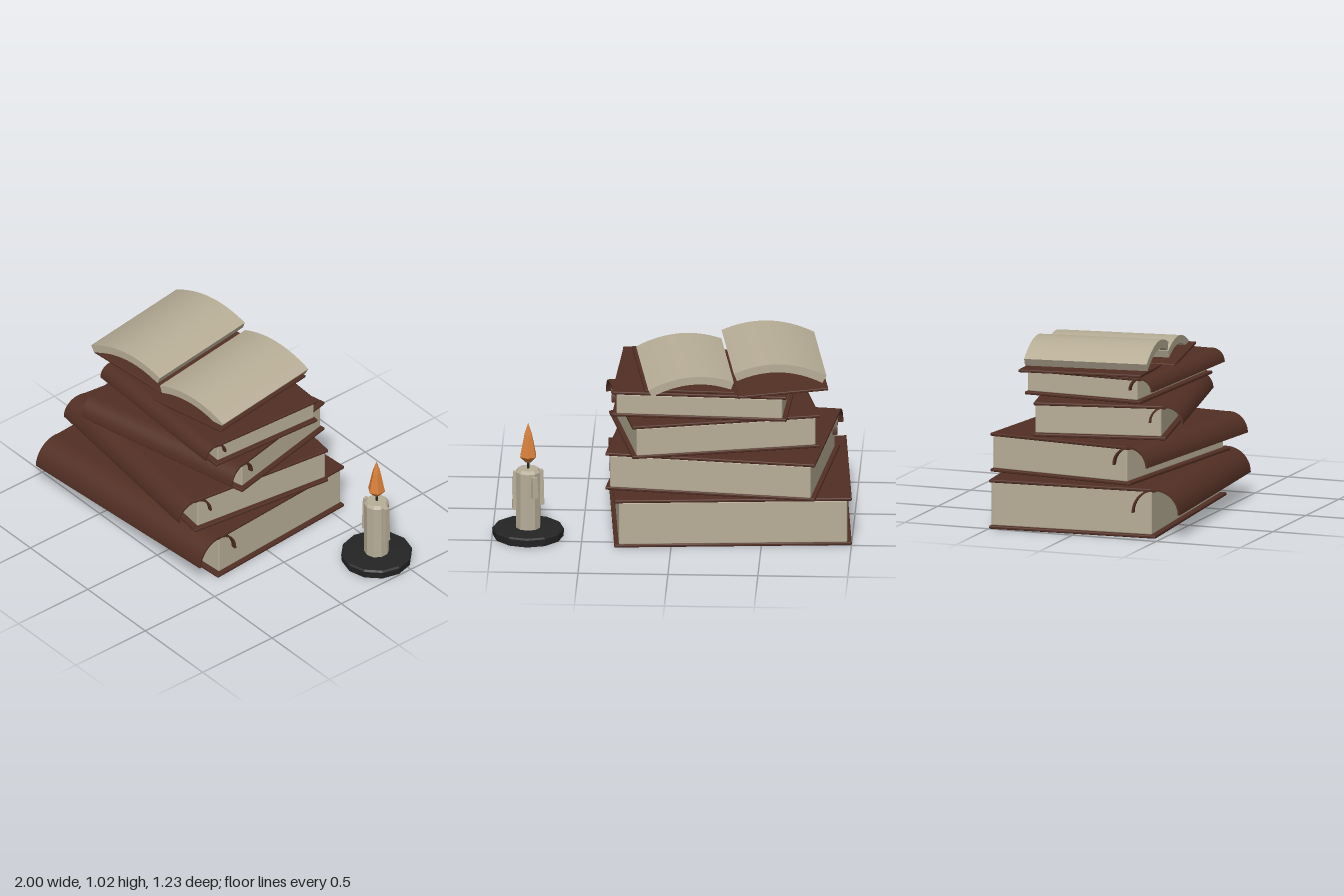
import * as THREE from 'three';
import { toCreasedNormals } from 'three/addons/utils/BufferGeometryUtils.js';
import { RoundedBoxGeometry } from 'three/addons/geometries/RoundedBoxGeometry.js';

const material = (name, color, extra = {}) => {
  const m = new THREE.MeshStandardMaterial({ color, ...extra });
  m.name = name;
  return m;
};

export function createModel() {
  const leather = material('brown leather', 0x522f24);
  const paper = material('aged paper', 0xb8ae97);
  const wax = material('wax', 0xb8ae99);
  const iron = material('black iron', 0x242424);
  const flameOrange = material('flame orange', 0xd9803a);
  for (const m of [wax, iron, flameOrange]) m.flatShading = true;

  const model = new THREE.Group();
  model.name = 'bookStackWithCandle';

  const add = (parent, name, geometry, mat, x = 0, y = 0, z = 0) => {
    const mesh = new THREE.Mesh(geometry, mat);
    mesh.name = name;
    mesh.position.set(x, y, z);
    parent.add(mesh);
    return mesh;
  };

  const group = (name, x, y, z, turn) => {
    const g = new THREE.Group();
    g.name = name;
    g.position.set(x, y, z);
    g.rotation.y = turn;
    model.add(g);
    return g;
  };

  // Arched spine: a thin half tube lying along x
  const spineGeometry = (radius, length) => {
    const shape = new THREE.Shape();
    shape.absarc(0, 0, radius, 0, Math.PI, false);
    shape.absarc(0, 0, radius - 0.011, Math.PI, 0, true);
    const geo = new THREE.ExtrudeGeometry(shape, { depth: length, bevelEnabled: false, curveSegments: 20 });
    geo.translate(0, 0, -length / 2);
    geo.rotateY(Math.PI / 2);
    return toCreasedNormals(geo, 0.6);
  };

  // Closed books, bottom to top
  const books = [
    { w: 1.32, d: 0.97, y: 0, h: 0.28, x: -0.31, z: -0.06, turn: 0.07 },
    { w: 1.18, d: 0.88, y: 0.282, h: 0.22, x: -0.267, z: -0.062, turn: -0.12 },
    { w: 1.06, d: 0.745, y: 0.503, h: 0.194, x: -0.222, z: -0.053, turn: 0.215 },
    { w: 0.975, d: 0.705, y: 0.699, h: 0.148, x: -0.168, z: -0.051, turn: -0.05 },
  ];
  const t = 0.018;
  books.forEach(({ w, d, y, h, x, z, turn }, i) => {
    const book = group(`closedBook${i + 1}`, x, y, z, turn);
    const cover = new RoundedBoxGeometry(w, t, d, 2, 0.006);
    add(book, 'bottomCover', cover, leather, 0, t / 2, 0);
    add(book, 'topCover', cover, leather, 0, h - t / 2, 0);
    add(book, 'pageBlock', new RoundedBoxGeometry(w - 0.05, h - 2 * t + 0.006, d - 0.035, 2, 0.008),
      paper, 0, h / 2, -0.0125);
    add(book, 'spine', spineGeometry(h / 2, w), leather, 0, h / 2, d / 2);
  });

  // Open book covers, tilted into a shallow V
  for (const side of [-1, 1]) {
    const half = group(side < 0 ? 'openCoverRight' : 'openCoverLeft', -0.309 + side * 0.26, 0.862, -0.064, 0.138);
    const panel = add(half, 'coverPanel', new RoundedBoxGeometry(0.505, 0.016, 0.7, 2, 0.005), leather);
    panel.rotation.z = side * 0.065;
  }

  // Bowed page halves: an arched band extruded along the book's depth
  const bowedPages = (x0, y0, x1, y1, rise, thick) => {
    const curve = new THREE.QuadraticBezierCurve(
      new THREE.Vector2(x0, y0),
      new THREE.Vector2((x0 + x1) / 2, (y0 + y1) / 2 + 2 * rise),
      new THREE.Vector2(x1, y1));
    const top = [], under = [];
    for (let i = 0; i <= 16; i++) {
      const p = curve.getPoint(i / 16), k = curve.getTangent(i / 16);
      top.push(p);
      under.unshift(new THREE.Vector2(p.x + k.y * thick, p.y - k.x * thick));
    }
    const geo = new THREE.ExtrudeGeometry(new THREE.Shape([...top, ...under]), { depth: 0.7, bevelEnabled: false });
    geo.translate(0, 0, -0.35);
    return toCreasedNormals(geo, 0.5);
  };
  const openPages = group('openPages', -0.295, 0, -0.07, 0.138);
  add(openPages, 'rightPages', bowedPages(-0.517, 0.946, 0, 0.976, 0.062, 0.047), paper);
  add(openPages, 'leftPages', bowedPages(0, 0.926, 0.477, 0.896, 0.054, 0.045), paper);

  // Candle on a round holder
  const candle = group('candle', 0.8, 0, -0.42, 0);
  const lathe = (points, sides) =>
    new THREE.LatheGeometry(points.map(([r, y]) => new THREE.Vector2(r, y)), sides);
  add(candle, 'holder', lathe([[0, 0.004], [0.196, 0.004], [0.2, 0.045], [0.19, 0.054], [0, 0.058]], 12), iron);
  add(candle, 'waxBody', lathe([[0, 0.002], [0.07, 0.002], [0.07, 0.385], [0.057, 0.402], [0, 0.402]], 10), wax);
  add(candle, 'wick', new THREE.CylinderGeometry(0.007, 0.007, 0.07, 6), iron, 0, 0.425, 0);
  add(candle, 'flame', lathe([[0, 0.435], [0.018, 0.44], [0.05, 0.475], [0.024, 0.6], [0, 0.672]], 6), flameOrange);

  // Wax drips: angle around the candle, top and bottom heights
  const drips = [[0.1, 0.385, 0.165], [2.1, 0.37, 0.25], [3.4, 0.388, 0.185]];
  for (const [angle, top, bottom] of drips) {
    const drip = add(candle, 'waxDrip', new THREE.CylinderGeometry(0.02, 0.026, top - bottom, 4), wax,
      Math.cos(angle) * 0.07, (top + bottom) / 2, -Math.sin(angle) * 0.07);
    drip.rotation.y = angle + Math.PI / 4;
  }

  return model;
}
